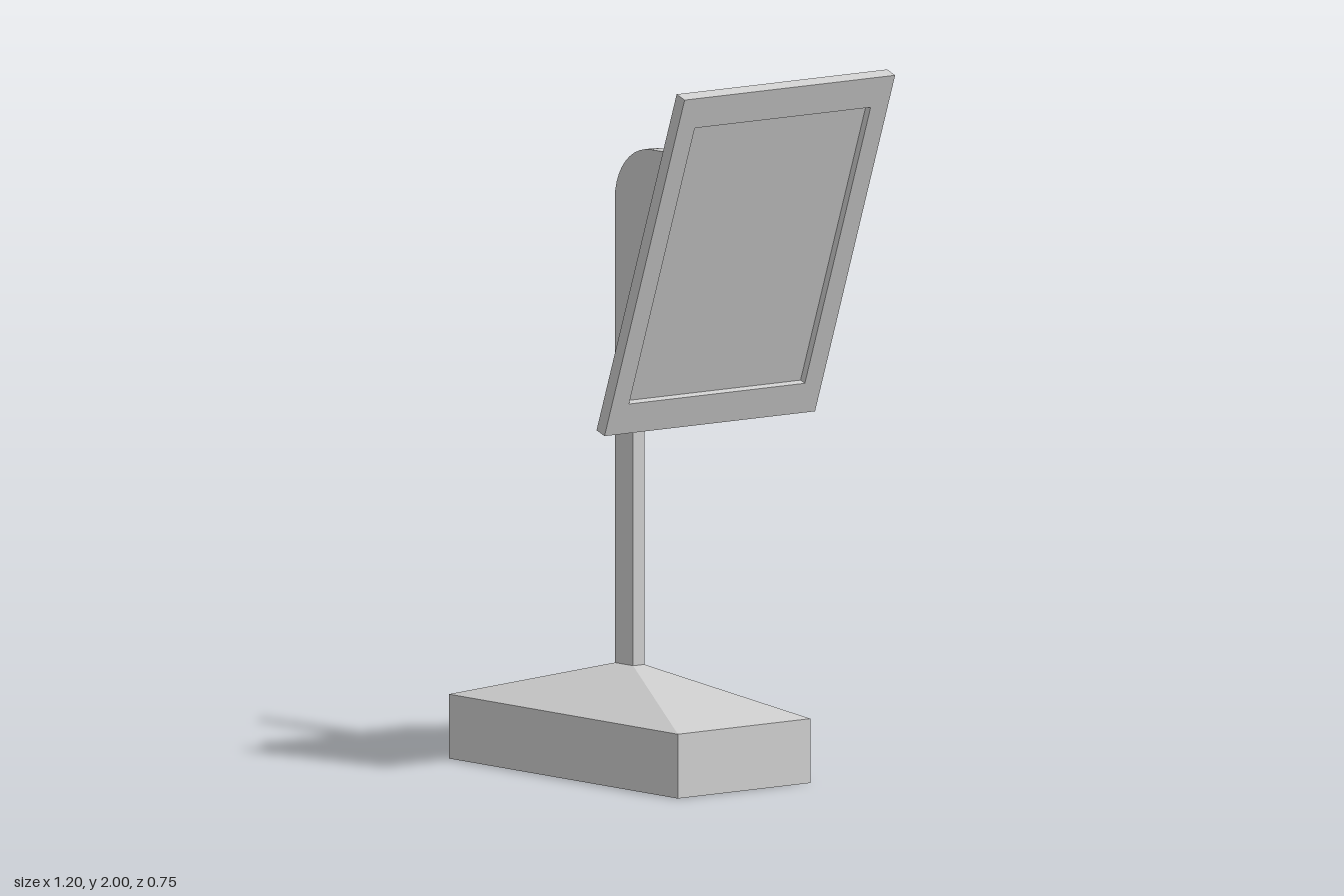
import * as THREE from 'three';

const material = new THREE.MeshStandardMaterial({ color: 0xcccccc, flatShading: true });

function addPart(parent, name, geometry, x = 0, y = 0, z = 0) {
  const mesh = new THREE.Mesh(geometry, material);
  mesh.name = name;
  mesh.position.set(x, y, z);
  parent.add(mesh);
  return mesh;
}

// Box whose vertices are reshaped by a rule
function shapedBox(w, h, d, rule) {
  const geometry = new THREE.BoxGeometry(w, h, d);
  const p = geometry.attributes.position;
  const v = new THREE.Vector3();
  for (let i = 0; i < p.count; i++) {
    rule(v.fromBufferAttribute(p, i));
    p.setXYZ(i, v.x, v.y, v.z);
  }
  geometry.computeVertexNormals();
  return geometry;
}

// Side profile in x/y, extruded symmetrically across z
function profile(shape, width) {
  return new THREE.ExtrudeGeometry(shape, { depth: width, bevelEnabled: false, curveSegments: 5 })
    .translate(0, 0, -width / 2);
}

function rectangle(PathType, hw, hh) {
  return new PathType([[-hw, -hh], [hw, -hh], [hw, hh], [-hw, hh]].map(([x, y]) => new THREE.Vector2(x, y)));
}

export function createModel() {
  const model = new THREE.Group();
  model.name = 'monitorOnStand';

  // Base block with a sloped top closing in on the post
  addPart(model, 'base', new THREE.BoxGeometry(1, 0.18, 0.474), -0.1, 0.09);
  addPart(model, 'baseSlope', shapedBox(1, 0.12, 0.474, (v) => {
    if (v.y > 0) {
      v.x = Math.sign(v.x) * 0.04;
      v.z = Math.sign(v.z) * 0.02;
    }
  }), -0.1, 0.24);

  // Post and arm in one flat plate with a rounded rear corner
  const arm = new THREE.Shape();
  arm.moveTo(-0.14, 0.3);
  arm.lineTo(-0.06, 0.3);
  arm.lineTo(-0.06, 1.275);
  arm.lineTo(0.195, 1.275);
  arm.lineTo(0.32, 1.753);
  arm.lineTo(0.015, 1.753);
  arm.absarc(0.015, 1.598, 0.155, Math.PI / 2, Math.PI, false);
  arm.closePath();
  addPart(model, 'postAndArm', profile(arm, 0.04));

  // Tilted head: local +x is the screen normal, origin at the screen centre
  const head = new THREE.Group();
  head.name = 'head';
  head.position.set(0.425, 1.5, 0);
  head.rotation.z = -THREE.MathUtils.degToRad(19.65);
  model.add(head);

  // Screen frame around a shallow recess, with the screen behind it
  const frame = rectangle(THREE.Shape, 0.377, 0.52);
  frame.holes.push(rectangle(THREE.Path, 0.315, 0.427));
  const frameGeometry = new THREE.ExtrudeGeometry(frame, { depth: 0.02, bevelEnabled: false }).rotateY(Math.PI / 2);
  addPart(head, 'screenFrame', frameGeometry, -0.02);
  addPart(head, 'screen', new THREE.BoxGeometry(0.017, 1.04, 0.754), -0.0285);

  // Tapered housing and back plate
  addPart(head, 'housing', shapedBox(0.042, 1.04, 0.754, (v) => {
    if (v.x < 0) {
      v.y = Math.sign(v.y) * 0.4;
      v.z = Math.sign(v.z) * 0.29;
    }
  }), -0.058);
  addPart(head, 'backPlate', new THREE.BoxGeometry(0.043, 0.8, 0.58), -0.1005);

  // Mounting bracket with a chamfered top
  const bracket = new THREE.Shape([
    [-0.19, -0.291], [-0.122, -0.291], [-0.122, 0.284], [-0.15, 0.286], [-0.181, 0.263], [-0.19, 0.203],
  ].map(([x, y]) => new THREE.Vector2(x, y)));
  addPart(head, 'bracket', profile(bracket, 0.114));

  return model;
}
